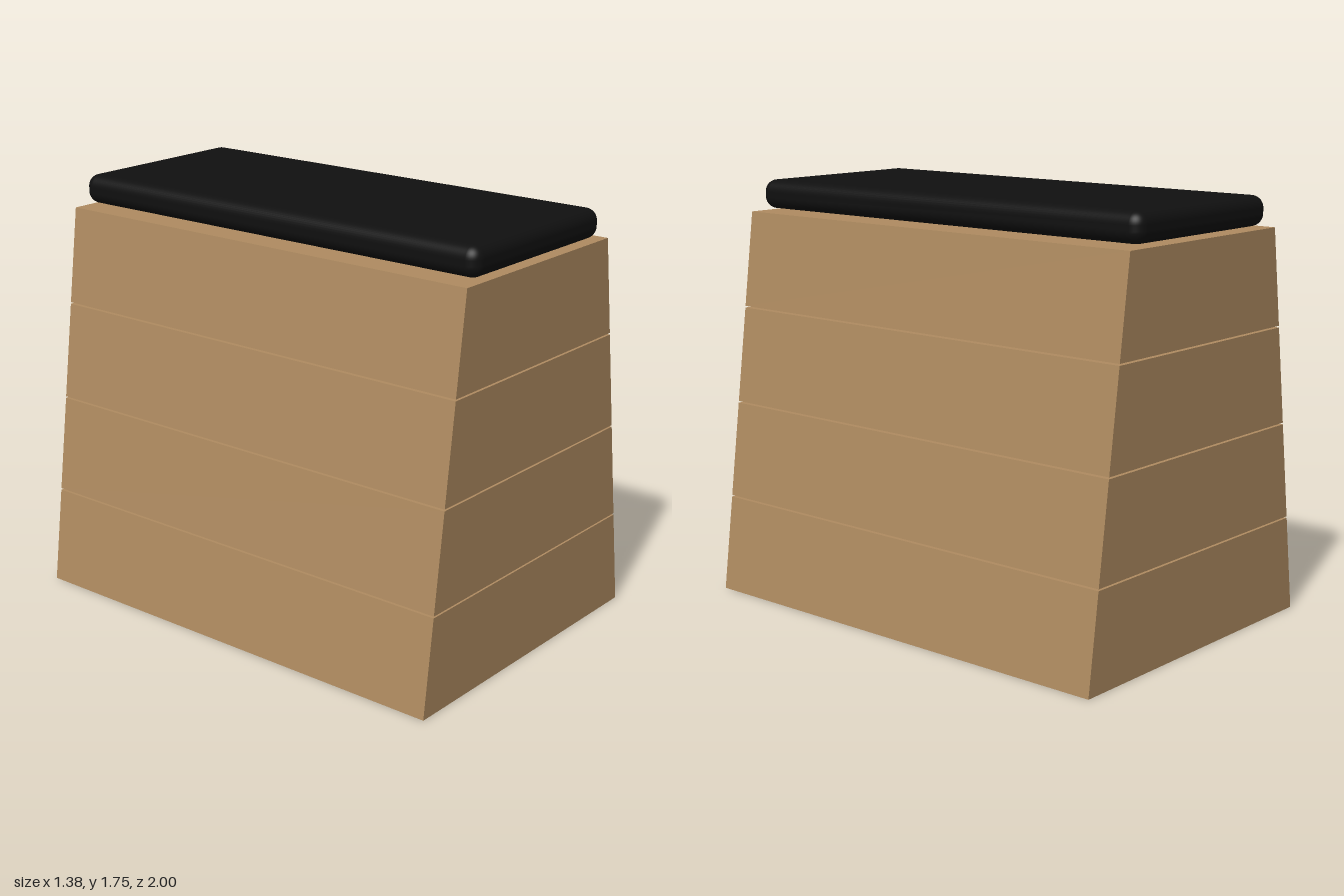
import * as THREE from 'three';
import { RoundedBoxGeometry } from 'three/addons/geometries/RoundedBoxGeometry.js';

export function createModel() {
  const group = new THREE.Group();
  const wood = new THREE.MeshStandardMaterial({ color: 0xb08c61 });
  wood.name = 'wood';
  const padding = new THREE.MeshStandardMaterial({ color: 0x101010 });
  padding.name = 'blackPadding';

  const tiers = 4, tierHeight = 0.4, gap = 0.007, bodyTop = 1.621;
  // The sides lean in evenly from the floor to the top
  const halfWidth = (y) => THREE.MathUtils.lerp(0.69, 0.475, y / bodyTop);

  // Stacked tapering box tiers with thin gaps between
  for (let i = 0; i < tiers; i++) {
    const y0 = i * (tierHeight + gap), y1 = y0 + tierHeight;
    const a = halfWidth(y0), b = halfWidth(y1);
    const shape = new THREE.Shape([
      new THREE.Vector2(-a, y0), new THREE.Vector2(a, y0),
      new THREE.Vector2(b, y1), new THREE.Vector2(-b, y1),
    ]);
    const geometry = new THREE.ExtrudeGeometry(shape, { depth: 2, bevelEnabled: false });
    geometry.translate(0, 0, -1);
    const tier = new THREE.Mesh(geometry, wood);
    tier.name = 'boxTier' + (i + 1);
    group.add(tier);
  }

  // Padded top, floating just above the last tier
  const cushion = new THREE.Mesh(new RoundedBoxGeometry(0.844, 0.122, 2, 5, 0.05), padding);
  cushion.name = 'cushion';
  cushion.position.y = 1.692;
  group.add(cushion);

  return group;
}
